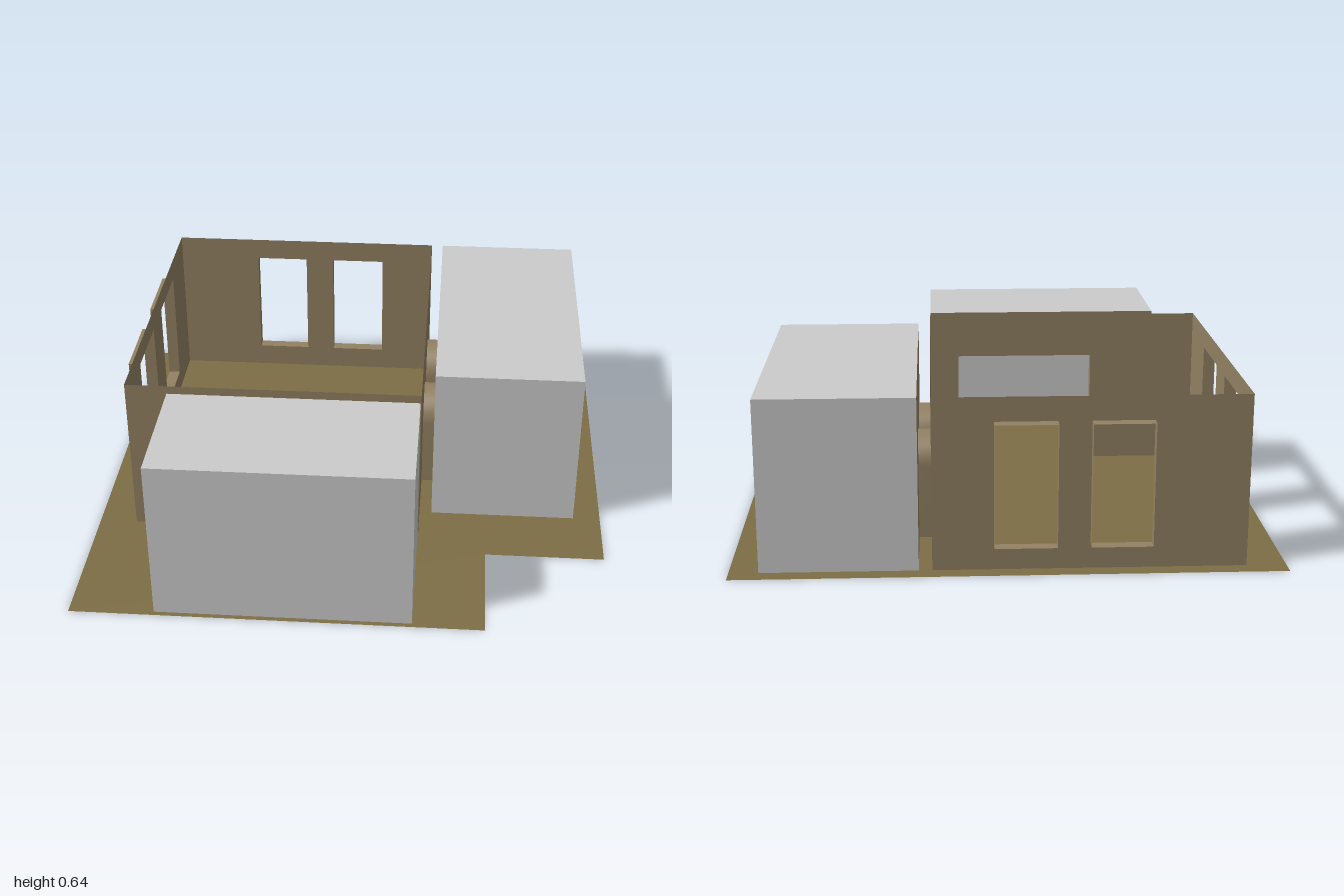
import * as THREE from 'three';
import { toCreasedNormals } from 'three/addons/utils/BufferGeometryUtils.js';

const H = 0.64; // wall height
const material = (color) => new THREE.MeshStandardMaterial({ color, side: THREE.DoubleSide });
const brown = material(0x928163);
const olive = material(0x7c6e45);
const grey = material(0xcccccc);

// Outline of an opening: up the left side, over the top, down the right side
function opening(u0, u1, v0, v1, arched = false) {
  const pts = [new THREE.Vector2(u0, v0)];
  if (arched) {
    const r = (u1 - u0) / 2;
    for (let i = 0; i <= 24; i++) {
      const a = Math.PI * (1 - i / 24);
      pts.push(new THREE.Vector2(u0 + r + r * Math.cos(a), v1 - r + r * Math.sin(a)));
    }
  } else {
    pts.push(new THREE.Vector2(u0, v1), new THREE.Vector2(u1, v1));
  }
  pts.push(new THREE.Vector2(u1, v0));
  return pts;
}

// Thin upright wall in local XY; doors cut the lower edge, windows are holes
function wall(name, mat, u0, u1, doors = [], windows = []) {
  const V = (x, y) => new THREE.Vector2(x, y);
  const shape = new THREE.Shape([V(u0, 0), ...doors.flat(), V(u1, 0), V(u1, H), V(u0, H)]);
  for (const w of windows) shape.holes.push(new THREE.Path(w));
  const mesh = new THREE.Mesh(new THREE.ShapeGeometry(shape), mat);
  mesh.name = name;
  return mesh;
}

// Thin lining that follows an opening and projects from the wall by depth
function lining(name, outline, depth, closed) {
  const pts = closed ? [...outline, outline[0]] : outline;
  const geo = new THREE.PlaneGeometry(1, 1, pts.length - 1, 1);
  const pos = geo.attributes.position;
  for (let i = 0; i < pos.count; i++) {
    const p = pts[i % pts.length];
    pos.setXYZ(i, p.x, p.y, i < pts.length ? 0 : depth);
  }
  const mesh = new THREE.Mesh(toCreasedNormals(geo, 0.6), brown);
  mesh.name = name;
  return mesh;
}

// Places wall parts across z, or turned so that local x runs along +z
function place(parent, axis, offset, ...parts) {
  for (const part of parts) {
    if (axis === 'x') part.rotation.y = -Math.PI / 2;
    part.position[axis] = offset;
    parent.add(part);
  }
}

// Flat roof panel
function roof(x0, x1, z0, z1) {
  const geo = new THREE.PlaneGeometry(x1 - x0, z1 - z0).rotateX(-Math.PI / 2);
  const mesh = new THREE.Mesh(geo, grey);
  mesh.name = 'roof';
  mesh.position.set((x0 + x1) / 2, H, (z0 + z1) / 2);
  return mesh;
}

export function createModel() {
  const model = new THREE.Group();
  model.name = 'floorPlanBuilding';

  // L-shaped floor
  const plan = [[-1, -0.965], [1, -0.965], [1, 0.51], [0.54, 0.51], [0.54, 0.965], [-1, 0.965]];
  const floorShape = new THREE.Shape(plan.map(([x, z]) => new THREE.Vector2(x, -z)));
  const floor = new THREE.Mesh(new THREE.ShapeGeometry(floorShape).rotateX(-Math.PI / 2), olive);
  floor.name = 'floor';
  model.add(floor);

  const backWindows = [opening(-0.51, -0.29, 0.095, 0.55), opening(-0.17, 0.055, 0.095, 0.55)];
  const leftWindows = [opening(-0.65, -0.36, 0.085, 0.56), opening(-0.19, 0.1, 0.085, 0.56)];
  const arches = [opening(-0.57, -0.35, 0, 0.39, true), opening(-0.21, 0.015, 0, 0.39, true)];
  const doorway = opening(-0.415, 0.155, 0, 0.46);

  // Main open room
  const room = new THREE.Group();
  room.name = 'mainRoom';
  place(room, 'z', -0.903, wall('backWall', brown, -0.855, 0.275, [], backWindows),
    ...backWindows.map((o) => lining('backWindowFrame', o, -0.047, true)));
  place(room, 'x', -0.855, wall('windowWall', brown, -0.903, 0.392, [], leftWindows),
    ...leftWindows.map((o) => lining('sideWindowFrame', o, 0.047, true)));
  place(room, 'x', 0.275, wall('archWall', brown, -0.903, 0.392, arches),
    ...arches.map((o) => lining('archLining', o, -0.048, false)));
  place(room, 'z', 0.392, wall('frontWall', brown, -0.855, 0.275, [doorway]),
    lining('doorwayLining', doorway, 0.053, false));
  model.add(room);

  // Side room behind the arches
  const side = new THREE.Group();
  side.name = 'sideRoom';
  place(side, 'x', 0.323, wall('archedInnerWall', brown, -0.903, 0.245, arches));
  place(side, 'x', 0.893, wall('outerWall', grey, -0.903, 0.245));
  place(side, 'z', -0.903, wall('backWall', grey, 0.323, 0.893));
  place(side, 'z', 0.245, wall('frontWall', grey, 0.323, 0.893));
  side.add(roof(0.323, 0.893, -0.903, 0.245));
  model.add(side);

  // Front room behind the wide doorway
  const front = new THREE.Group();
  front.name = 'frontRoom';
  place(front, 'z', 0.445, wall('doorwayInnerWall', brown, -0.683, 0.273, [doorway]));
  place(front, 'z', 0.946, wall('outerWall', grey, -0.683, 0.273));
  for (const x of [-0.683, 0.273]) place(front, 'x', x, wall('endWall', grey, 0.445, 0.946));
  front.add(roof(-0.683, 0.273, 0.445, 0.946));
  model.add(front);

  return model;
}
